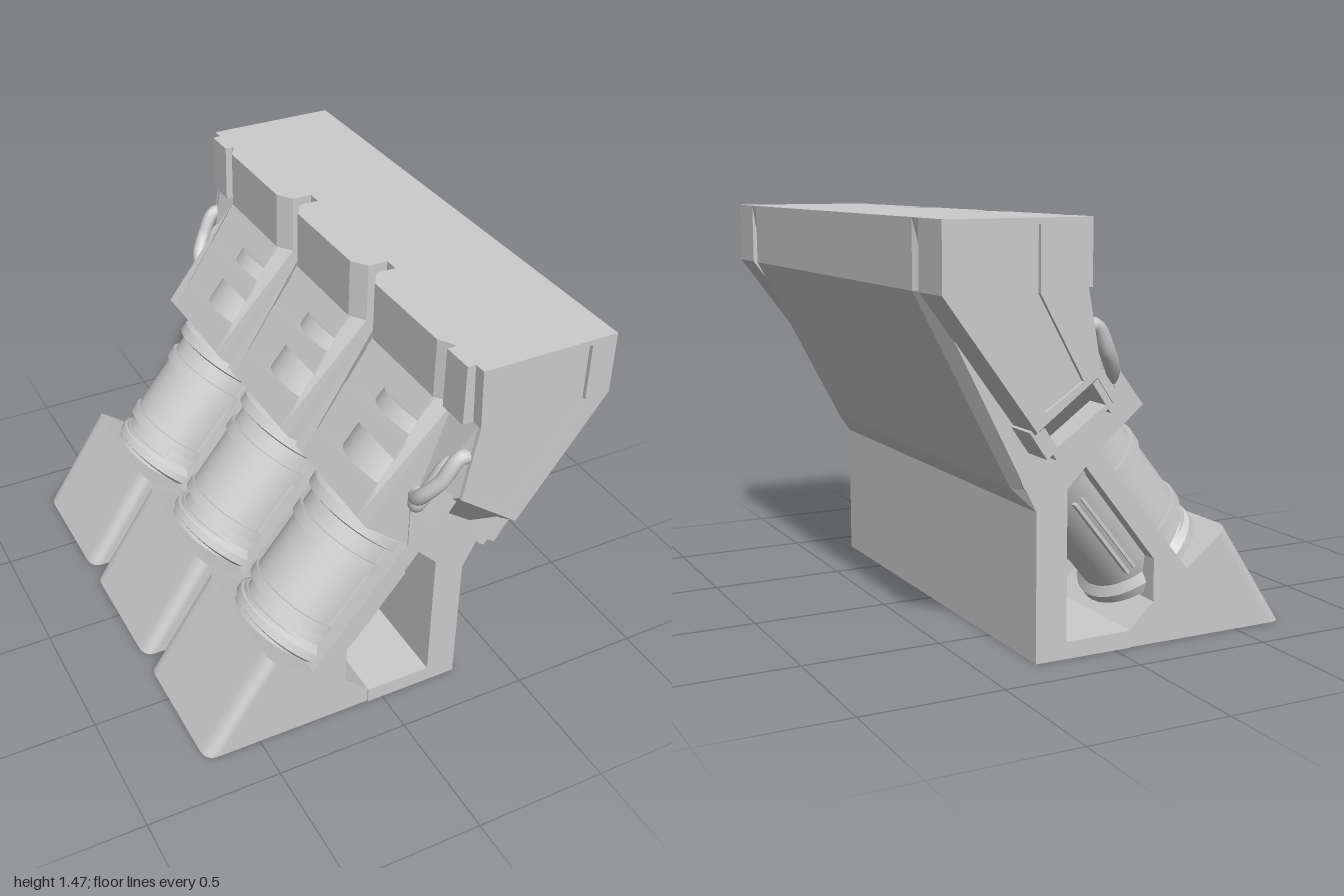
import * as THREE from 'three';

const mat = new THREE.MeshStandardMaterial({ color: 0xcccccc, side: THREE.DoubleSide });

function add(parent, geometry, name, x = 0, y = 0, z = 0) {
  const m = new THREE.Mesh(geometry, mat);
  m.name = name;
  m.position.set(x, y, z);
  parent.add(m);
  return m;
}

const vecs = pts => pts.map(p => new THREE.Vector2(p[0], p[1]));

// Side profile extruded from z0 to z1, with optional hole
function slab(pts, z0, z1, hole) {
  const s = new THREE.Shape(vecs(pts));
  if (hole) s.holes.push(new THREE.Path(vecs(hole)));
  return new THREE.ExtrudeGeometry(s, { depth: z1 - z0, bevelEnabled: false }).translate(0, 0, z0);
}

// Move vertices by a rule
function warp(g, rule) {
  const p = g.attributes.position, v = new THREE.Vector3();
  for (let i = 0; i < p.count; i++) {
    v.fromBufferAttribute(p, i);
    rule(v);
    p.setXYZ(i, v.x, v.y, v.z);
  }
  g.computeVertexNormals();
  return g;
}

// Turned part with crisp steps: every segment gets its own points
function turned(parent, profile, name, x = 0) {
  const group = new THREE.Group();
  group.name = name;
  group.position.x = x;
  for (let i = 0; i < profile.length - 1; i++)
    add(group, new THREE.LatheGeometry(vecs([profile[i], profile[i + 1]]), 40), name + 'Section');
  parent.add(group);
}

const HOLE = [[-0.155, 0.3], [0.12, 0.65], [0.19, 0.58], [0.19, 0.06], [-0.06, 0.06], [-0.155, 0.15]];
const BACK = [[0.305, 0], [0.305, 0.515], [0.37, 0.59], [0.71, 1.245], [0.71, 1.47]];
const FOOT = [[-0.63, 0], [0.28, 0], [0.28, 0.5], [0.35, 0.6], [0.6, 1.2], [0.6, 1.47], [0.17, 1.47], [0.17, 1.25]];
const SEAT = [[0.07, 0.7], [-0.29, 0.25], [-0.417, 0.347]];

function makeModule() {
  const g = new THREE.Group();
  g.name = 'launchModule';

  // Side walls, chamfered at the top front corner
  for (const s of [1, -1]) {
    const wall = slab([...FOOT, [-0.1, 0.84], ...SEAT], 0.2, 0.26, HOLE);
    warp(wall, v => {
      if (v.z > 0.25 && v.y > 1.2 && v.x < 0.18) v.x += 0.04;
    });
    add(g, wall, 'sideWall').scale.z = s;
  }
  // Core, set back behind the lattice
  add(g, slab([...FOOT, [0.25, 1.195], [-0.0165, 0.785], ...SEAT], -0.2, 0.2, HOLE), 'core');

  // Leaning toe with rounded front corners
  const toe = new THREE.Shape();
  toe.moveTo(-0.6, -0.26);
  toe.lineTo(-0.6, 0.26);
  toe.lineTo(-0.66, 0.26);
  toe.quadraticCurveTo(-0.71, 0.26, -0.71, 0.2);
  toe.lineTo(-0.71, -0.2);
  toe.quadraticCurveTo(-0.71, -0.26, -0.66, -0.26);
  const toeGeo = new THREE.ExtrudeGeometry(toe, { depth: 1, bevelEnabled: false, curveSegments: 8 }).rotateX(-Math.PI / 2);
  warp(toeGeo, v => {
    v.y *= (0.03 - 0.76 * v.x) / 1.5;
    v.x += v.y * 0.658;
  });
  add(g, toeGeo, 'toe');

  // Leaning shaft and the tank below it
  const lean = new THREE.Group();
  lean.name = 'leaningShaft';
  lean.position.set(-0.29, 0.25, 0);
  lean.rotation.z = -0.675;
  g.add(lean);
  turned(lean, [[0, 0], [0.195, 0], [0.195, 0.07], [0.185, 0.07], [0.185, 0.12], [0.21, 0.12], [0.21, 0.16],
    [0.2, 0.16], [0.2, 0.4], [0.213, 0.4], [0.213, 0.445], [0.2, 0.445], [0.2, 0.51], [0.225, 0.52],
    [0.225, 0.56], [0.2, 0.575], [0.2, 0.95], [0, 0.95]], 'shaft');
  turned(lean, [[0, 0], [0.2, 0], [0.235, 0.02], [0.235, 0.05], [0.205, 0.075], [0.205, 0.52], [0.16, 0.57], [0, 0.57]],
    'tank', 0.035);
  for (const x of [0.125, 0.155])
    add(lean, new THREE.BoxGeometry(0.012, 0.34, 0.38), 'tankRib', x, 0.28, 0);

  // Lattice bars across the head
  const lattice = new THREE.Group();
  lattice.name = 'lattice';
  lattice.position.set(-0.1, 0.84, 0);
  lattice.rotation.z = -0.582;
  g.add(lattice);
  for (const [a, b] of [[0, 0.11], [0.24, 0.31], [0.45, 0.49]])
    add(lattice, new THREE.BoxGeometry(0.09, b - a, 0.41), 'latticeBar', 0.046, (a + b) / 2, 0);
  return g;
}

function makeEnd() {
  const g = new THREE.Group();
  g.name = 'endCap';

  // Cap whose lower end slopes outward and up
  const cap = slab([[0.2, 1.47], [0.71, 1.47], [0.71, 1.245], [0.31, 0.7], [0.08, 0.87], [0.21, 1.25]], 0.83, 0.985);
  warp(cap, v => {
    if (v.z > 0.9 && v.y < 1) { v.x += 0.08; v.y += 0.11; }
  });
  add(g, cap, 'capBody');
  const outline = [[0.2, 1.47], [0.71, 1.47], [0.71, 1.245], [0.39, 0.81], [0.16, 0.98], [0.21, 1.25]];
  const panel = [[0.38, 1.45], [0.615, 1.45], [0.615, 1.24], [0.36, 0.87], [0.225, 0.96], [0.38, 1.24]];
  add(g, slab(outline, 0.985, 1, panel), 'capFrame');
  add(g, new THREE.BoxGeometry(0.04, 0.22, 0.12), 'capStrip', 0.19, 1.36, 0.895);

  // Open frame under the cap
  const frame = new THREE.Group();
  frame.name = 'lowerFrame';
  frame.position.set(0.235, 0.85, 0.9);
  frame.rotation.z = -0.6;
  g.add(frame);
  for (const s of [1, -1]) {
    add(frame, new THREE.BoxGeometry(0.025, 0.16, 0.12), 'framePlate', s * 0.12, 0, 0);
    add(frame, new THREE.BoxGeometry(0.03, 0.11, 0.13), 'frameFlange', s * 0.145, 0, 0);
    add(frame, new THREE.BoxGeometry(0.24, 0.016, 0.12), 'frameBar', 0, s * 0.055, 0);
  }

  // Pair of bent pipes
  for (const d of [0, 0.055]) {
    const path = new THREE.CatmullRomCurve3([
      [0.25, 1.1 - d, 0.97 - d], [0.17, 1.13 - d, 0.965 - d], [0.11, 1.04 - d, 0.95 - d],
      [0.07, 0.97 - d, 0.91 - d / 2], [0.07, 0.93 - d / 2, 0.87], [0.1, 0.92 - d / 2, 0.82],
    ].map(p => new THREE.Vector3(...p)));
    add(g, new THREE.TubeGeometry(path, 28, 0.027, 12), 'pipe');
  }
  return g;
}

export function createModel() {
  const model = new THREE.Group();
  model.name = 'launcherBlock';

  // Shared back body, set behind the gaps between modules
  const spine = [[-0.06, 0], ...BACK, [0.285, 1.47], [0.285, 1.2], [0.07, 0.86], [0.07, 0.7],
    [0.12, 0.65], [0.19, 0.58], [0.19, 0.06], [-0.06, 0.06]];
  add(model, slab(spine, -0.78, 0.78), 'backBody');
  for (const s of [1, -1]) {
    // End slice with a bevelled back slope
    const edge = slab(spine, 0.78, 0.84);
    warp(edge, v => {
      if (v.z > 0.8 && v.x > 0.36 && v.y > 0.55 && v.y < 1.3) v.x -= 0.035;
    });
    add(model, edge, 'backBodyEdge').scale.z = s;

    const end = makeEnd();
    end.scale.z = s;
    model.add(end);
  }

  for (const z of [-0.575, 0, 0.575]) {
    const m = makeModule();
    m.position.z = z;
    model.add(m);
  }
  return model;
}
